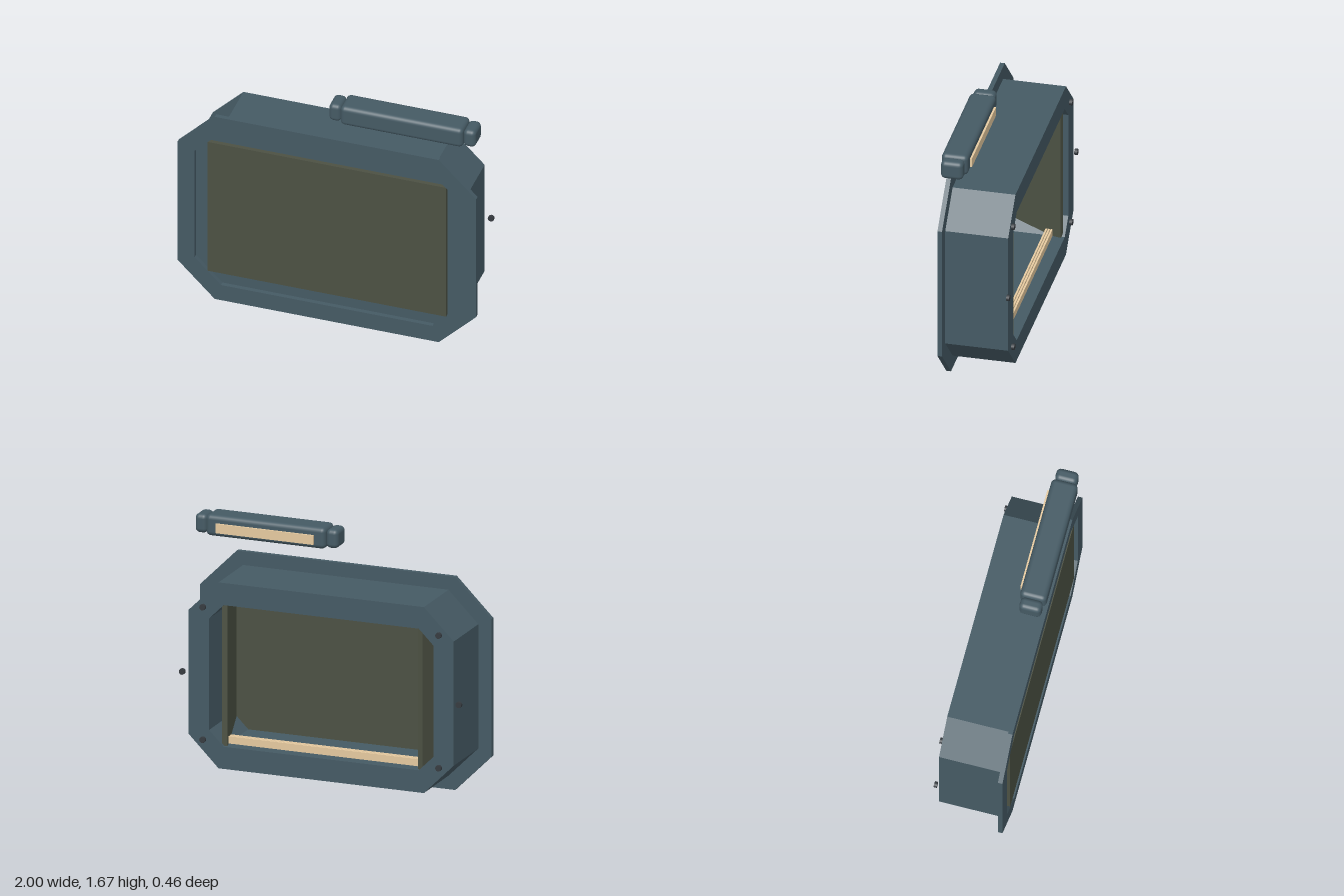
import * as THREE from 'three';
import { RoundedBoxGeometry } from 'three/addons/geometries/RoundedBoxGeometry.js';

const material = (name, color) => {
  const m = new THREE.MeshStandardMaterial({ color });
  m.name = name;
  return m;
};

// Corner points of a chamfered rectangle
function octagon(hw, hh, c) {
  return [[hw, -hh + c], [hw, hh - c], [hw - c, hh], [-hw + c, hh],
    [-hw, hh - c], [-hw, -hh + c], [-hw + c, -hh], [hw - c, -hh]]
    .map(([x, y]) => new THREE.Vector2(x, y));
}

// Chamfered ring running from z0 to z1
function ring(outer, inner, z0, z1) {
  const shape = new THREE.Shape(octagon(...outer));
  shape.holes.push(new THREE.Path(octagon(...inner)));
  const g = new THREE.ExtrudeGeometry(shape, { depth: z1 - z0, bevelEnabled: false });
  return g.translate(0, 0, z0);
}

export function createModel() {
  const slate = material('slate', 0x455a64);
  const olive = material('olive', 0x4c5143);
  const tan = material('tan', 0xe6caa0);
  const dark = material('dark metal', 0x363b40);

  const model = new THREE.Group();
  const midY = 0.707;
  const add = (name, geometry, mat, x, y, z) => {
    const mesh = new THREE.Mesh(geometry, mat);
    mesh.name = name;
    mesh.position.set(x, y, z);
    model.add(mesh);
    return mesh;
  };

  // Housing and the wider flange on its front
  add('housing', ring([0.91, 0.617, 0.205], [0.77, 0.47, 0.1], -0.21, 0.2), slate, 0, midY, 0);
  add('frontFlange', ring([1, 0.707, 0.25], [0.885, 0.59, 0.177], 0.2, 0.23), slate, 0, midY, 0);

  // Front pane and the two slanted side panes inside
  add('frontPane', new THREE.BoxGeometry(1.596, 1, 0.028), olive, 0, midY, 0.214);
  for (const s of [-1, 1]) {
    const pane = add('sidePane', new THREE.BoxGeometry(0.035, 1, 0.397), olive, s * 0.719, midY, 0.003);
    pane.rotation.y = s * 0.242;
  }

  // Light rails along the floor of the opening
  for (let i = 0; i < 3; i++) {
    add('floorRail', new THREE.BoxGeometry(1.34, 0.055, 0.012), tan, 0, 0.257, -0.125 + i * 0.017);
  }

  // Bolts on the back
  for (const s of [-1, 1]) {
    for (const [x, y] of [[0.81, 0.27], [0.81, 1.15], [0.95, midY]]) {
      const bolt = new THREE.CylinderGeometry(0.02, 0.02, 0.02, 12).rotateX(Math.PI / 2);
      add('bolt', bolt, dark, s * x, y, -0.22);
    }
  }

  // Bar above, with end caps and a strip on its back
  const barX = 0.496, barY = 1.605, barZ = 0.143;
  add('bar', new RoundedBoxGeometry(0.82, 0.14, 0.172, 3, 0.03), slate, barX, barY, barZ);
  for (const s of [-1, 1]) {
    add('barEndCap', new RoundedBoxGeometry(0.082, 0.125, 0.145, 3, 0.03), slate, barX + s * 0.45, barY, barZ);
  }
  add('barStrip', new THREE.BoxGeometry(0.67, 0.062, 0.02), tan, barX, 1.595, 0.054);

  return model;
}
